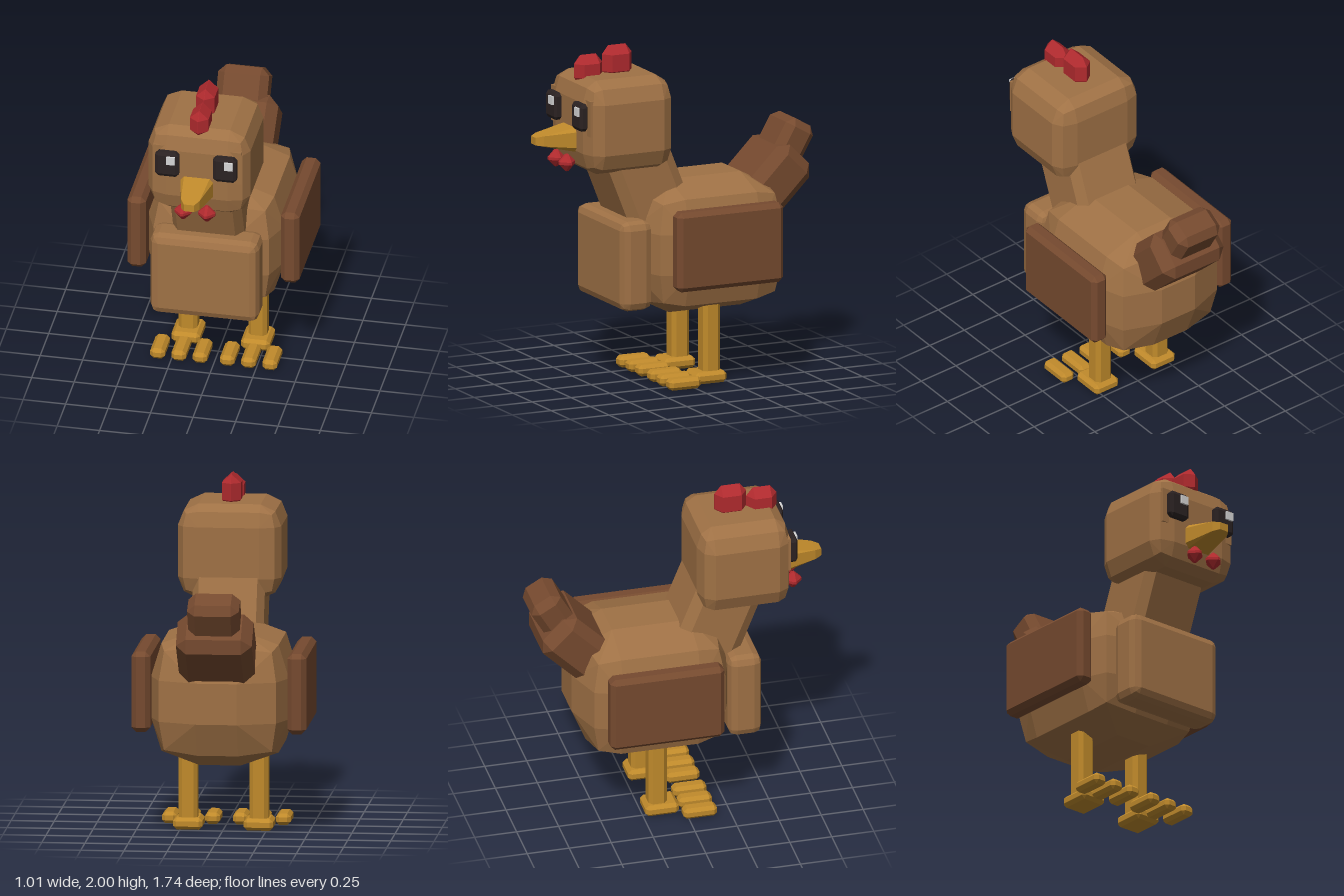
import * as THREE from 'three';
import { ConvexGeometry } from 'three/addons/geometries/ConvexGeometry.js';

const mat = (name, color) => {
  const m = new THREE.MeshStandardMaterial({ color });
  m.name = name;
  return m;
};

// Convex solid from points in one octant, mirrored to all eight.
function mirroredHull(points) {
  const out = [];
  for (const [x, y, z] of points)
    for (const sx of [-1, 1]) for (const sy of [-1, 1]) for (const sz of [-1, 1])
      out.push(new THREE.Vector3(x * sx, y * sy, z * sz));
  return new ConvexGeometry(out);
}

// Box with single-cut edges; a, b, c are half sizes, cut is per axis.
function chamferBox([a, b, c], cut) {
  const [i, j, k] = Array.isArray(cut) ? cut : [cut, cut, cut];
  return mirroredHull([[a, b - j, c - k], [a - i, b, c - k], [a - i, b - j, c]]);
}

// Softer box with two-step edges: flat face extent, edge ridge and corner.
function softBox([a, b, c], [i, j, k], [p, q, r], corner = 0.92) {
  return mirroredHull([
    [a, j, k], [i, b, k], [i, j, c],
    [p, q, k], [p, j, r], [i, q, r],
    [p * corner, q * corner, r * corner],
  ]);
}

export function createModel() {
  const root = new THREE.Group();
  root.name = 'chicken';
  const tan = mat('tan feathers', 0x9f7145);
  const brown = mat('brown feathers', 0x764a2f);
  const red = mat('red skin', 0xb02a2e);
  const yellow = mat('yellow horn', 0xc08a2b);
  const black = mat('black eye', 0x2b2222);
  const white = mat('eye shine', 0xd6d6d6);

  const add = (name, geo, material, x, y, z, tilt = 0) => {
    const m = new THREE.Mesh(geo, material);
    m.name = name;
    m.position.set(x, y, z);
    m.rotation.x = tilt;
    root.add(m);
    return m;
  };

  // Torso, chest, neck and head
  add('body', softBox([0.4, 0.395, 0.47], [0.12, 0.12, 0.23], [0.34, 0.315, 0.39]), tan, 0, 0.805, -0.17);
  add('chest', softBox([0.32, 0.265, 0.1], [0.27, 0.215, 0.05], [0.305, 0.25, 0.085], 0.97), tan, 0, 0.745, 0.35);
  add('neck', chamferBox([0.21, 0.3, 0.2], [0.04, 0.06, 0.06]), tan, 0, 1.2, 0.215, 0.38);
  add('head', softBox([0.3, 0.277, 0.275], [0.18, 0.15, 0.19], [0.265, 0.237, 0.25], 0.94), tan, 0, 1.567, 0.365);
  add('face', new THREE.BoxGeometry(0.52, 0.21, 0.16), tan, 0, 1.635, 0.55);

  // Tail in two stacked segments
  add('lowerTail', chamferBox([0.22, 0.2, 0.145], 0.06), brown, 0, 1.13, -0.62, -0.785);
  add('upperTail', chamferBox([0.15, 0.18, 0.1], 0.045), brown, 0, 1.29, -0.72, -0.524);

  // Comb
  add('combBack', chamferBox([0.055, 0.1, 0.095], [0.054, 0.05, 0.04]), red, 0, 1.9, 0.335);
  add('combFront', chamferBox([0.055, 0.09, 0.09], [0.054, 0.05, 0.04]), red, 0, 1.87, 0.52);

  // Tapered beak with a cut tip
  const beakPoints = [];
  for (const [w, low, high, z] of [
    [0.08, 1.4, 1.56, 0.6], [0.105, 1.43, 1.53, 0.6],
    [0.055, 1.455, 1.515, 0.83], [0.03, 1.46, 1.505, 0.87],
  ])
    for (const s of [-w, w])
      beakPoints.push(new THREE.Vector3(s, low, z), new THREE.Vector3(s, high, z));
  add('beak', new ConvexGeometry(beakPoints), yellow, 0, 0, 0);

  for (const s of [-1, 1]) {
    const side = s > 0 ? 'left' : 'right';
    // Face details
    add(side + 'Eye', chamferBox([0.07, 0.08, 0.025], [0.02, 0.02, 0.012]), black, s * 0.17, 1.64, 0.655);
    add(side + 'EyeShine', new THREE.BoxGeometry(0.05, 0.05, 0.015), white, s * 0.17 + 0.025, 1.675, 0.685);
    add(side + 'Wattle', chamferBox([0.05, 0.05, 0.05], 0.042), red, s * 0.07, 1.35, 0.69);

    // Wing
    add(side + 'Wing', chamferBox([0.055, 0.235, 0.34], 0.028), brown, s * 0.452, 0.845, -0.16);

    // Leg, foot pad and three toes
    add(side + 'Leg', chamferBox([0.055, 0.22, 0.055], [0.022, 0.005, 0.022]), yellow, s * 0.205, 0.25, -0.157);
    add(side + 'Foot', chamferBox([0.085, 0.035, 0.1], 0.02), yellow, s * 0.205, 0.035, -0.138);
    for (const dx of [-0.125, 0, 0.125])
      add(side + 'Toe', chamferBox([0.043, 0.034, 0.1], 0.02), yellow, s * 0.205 + dx, 0.035, 0.068);
  }
  return root;
}
